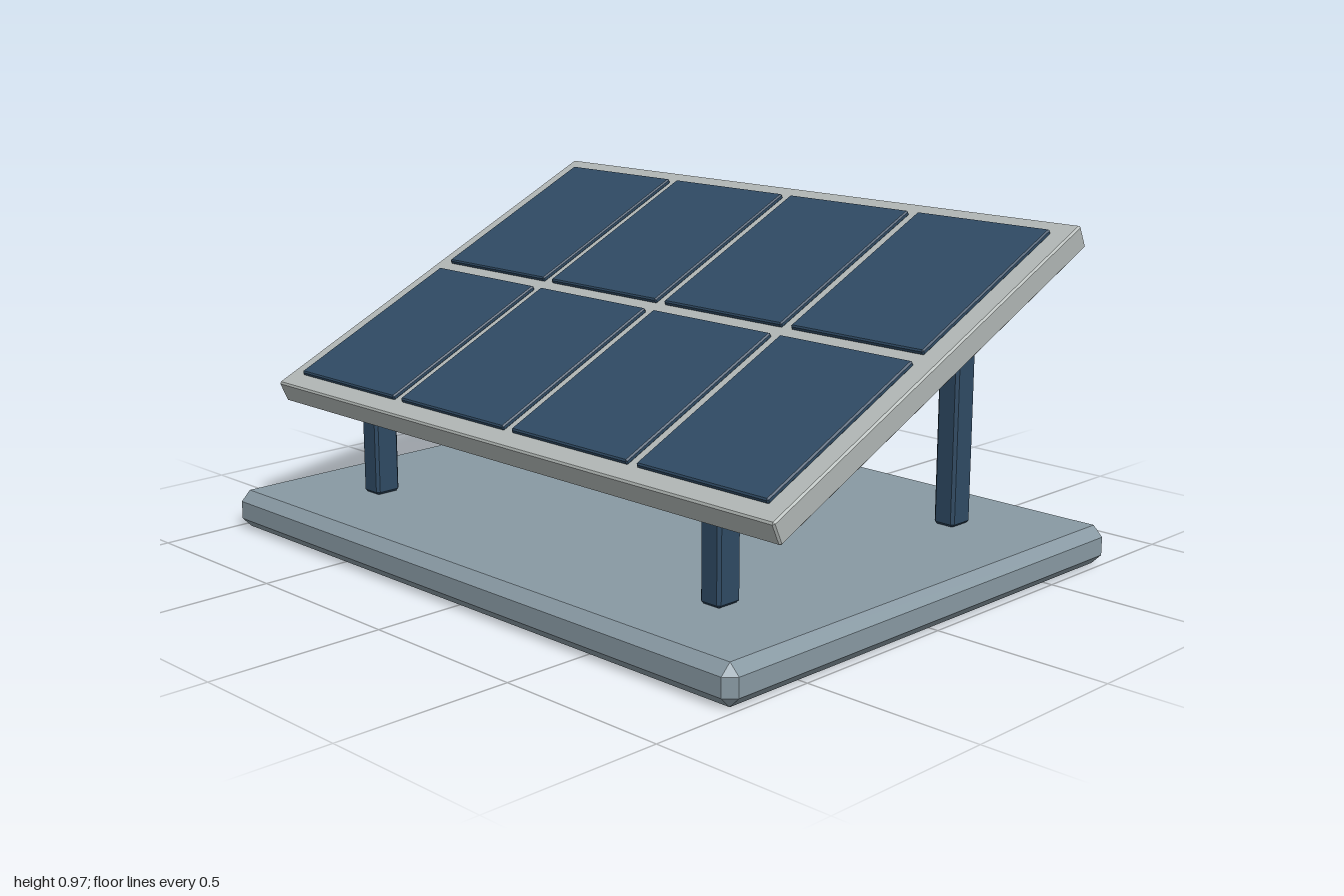
import * as THREE from 'three';
import { ConvexGeometry } from 'three/addons/geometries/ConvexGeometry.js';

const baseMat = new THREE.MeshStandardMaterial({ color: 0x8899a3 });
const frameMat = new THREE.MeshStandardMaterial({ color: 0xb0b6b4 });
const cellMat = new THREE.MeshStandardMaterial({ color: 0x2f4a63 });

// Box of size w, h, d with all edges and corners chamfered by c
function chamferBox(name, mat, w, h, d, c) {
  const points = [];
  for (const x of [-1, 1]) for (const y of [-1, 1]) for (const z of [-1, 1]) {
    const X = w / 2, Y = h / 2, Z = d / 2;
    points.push(
      new THREE.Vector3(x * X, y * (Y - c), z * (Z - c)),
      new THREE.Vector3(x * (X - c), y * Y, z * (Z - c)),
      new THREE.Vector3(x * (X - c), y * (Y - c), z * Z)
    );
  }
  const mesh = new THREE.Mesh(new ConvexGeometry(points), mat);
  mesh.name = name;
  return mesh;
}

export function createModel() {
  const model = new THREE.Group();
  model.name = 'solarPanel';

  // Base slab
  const base = chamferBox('base', baseMat, 2, 0.11, 1.53, 0.029);
  base.position.y = 0.055;
  model.add(base);

  // Short posts in front, tall posts behind
  const bottom = 0.112;
  for (const [side, x] of [['left', 0.685], ['right', -0.685]]) {
    for (const [end, z, top] of [['Front', 0.468, 0.36], ['Back', -0.466, 0.79]]) {
      const post = chamferBox(side + end + 'Post', cellMat, 0.068, top - bottom, 0.08, 0.008);
      post.position.set(x, (top + bottom) / 2, z);
      model.add(post);
    }
  }

  // Tilted panel: frame with a 4 x 2 grid of cells
  const panel = new THREE.Group();
  panel.name = 'panel';
  panel.position.y = 0.66;
  panel.rotation.x = THREE.MathUtils.degToRad(25);
  panel.add(chamferBox('frame', frameMat, 1.968, 0.068, 1.315, 0.005));
  for (let row = 0; row < 2; row++) {
    for (let col = 0; col < 4; col++) {
      const cell = chamferBox('cell', cellMat, 0.438, 0.016, 0.582, 0.004);
      cell.position.set((col - 1.5) * 0.471, 0.04, (row - 0.5) * 0.624);
      panel.add(cell);
    }
  }
  model.add(panel);

  return model;
}
